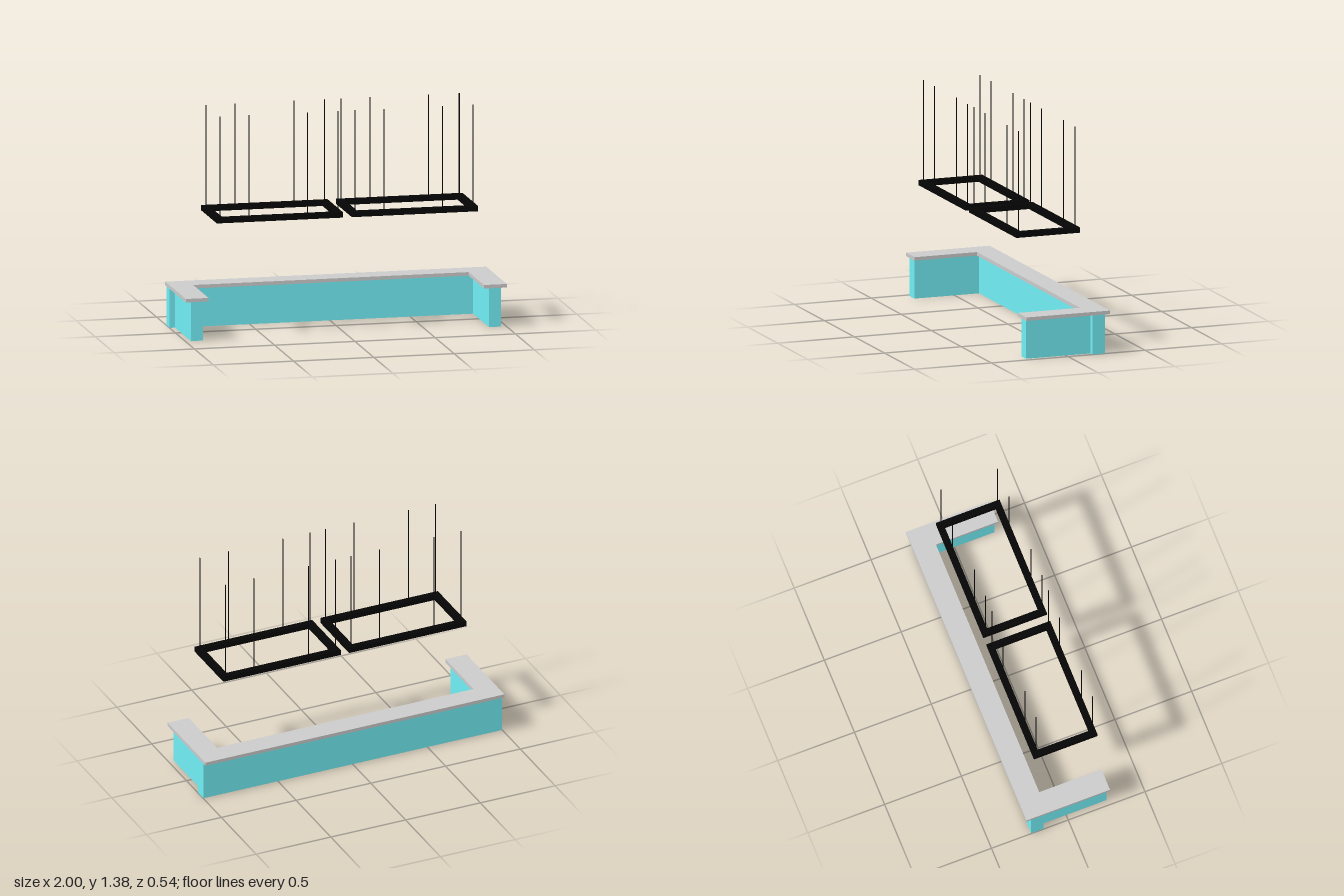
import * as THREE from 'three';

const grey = new THREE.MeshStandardMaterial({ color: 0xcccccc });
const teal = new THREE.MeshStandardMaterial({ color: 0x71eff5 });
const black = new THREE.MeshStandardMaterial({ color: 0x050505 });

// Box given by its minimum and maximum corners
function box(name, material, [x0, y0, z0], [x1, y1, z1]) {
  const mesh = new THREE.Mesh(new THREE.BoxGeometry(x1 - x0, y1 - y0, z1 - z0), material);
  mesh.name = name;
  mesh.position.set((x0 + x1) / 2, (y0 + y1) / 2, (z0 + z1) / 2);
  return mesh;
}

// Flat horizontal slab from an outline of [x, z] points; a hole runs the opposite way round
function slab(name, material, outline, y0, y1, hole) {
  const points = (list) => list.map(([x, z]) => new THREE.Vector2(x, -z));
  const shape = new THREE.Shape(points(outline));
  if (hole) shape.holes.push(new THREE.Path(points(hole).reverse()));
  const geometry = new THREE.ExtrudeGeometry(shape, { depth: y1 - y0, bevelEnabled: false });
  geometry.rotateX(-Math.PI / 2);
  const mesh = new THREE.Mesh(geometry, material);
  mesh.name = name;
  mesh.position.y = y0;
  return mesh;
}

const rectangle = (x0, x1, z0, z1) => [[x0, z0], [x1, z0], [x1, z1], [x0, z1]];

// U-shaped counter: long back wall, two side walls and a worktop
function createCounter() {
  const counter = new THREE.Group();
  counter.name = 'counter';
  counter.add(box('backWall', teal, [-0.998, 0, -0.24], [0.998, 0.242, -0.16]));
  counter.add(box('leftWall', teal, [0.892, 0, -0.16], [0.965, 0.242, 0.262]));
  counter.add(box('rightWall', teal, [-0.965, 0, -0.16], [-0.889, 0.242, 0.262]));
  const outline = [
    [-1, -0.272], [1, -0.272], [1, 0.272], [0.858, 0.272],
    [0.858, -0.133], [-0.858, -0.133], [-0.858, 0.272], [-1, 0.272],
  ];
  counter.add(slab('worktop', grey, outline, 0.242, 0.264));
  return counter;
}

// Hanging rectangular frame with two rows of thin suspension rods
function createHangingFrame(name, x0, x1, rodXs) {
  const group = new THREE.Group();
  group.name = name;
  const z0 = -0.147, z1 = 0.267, bar = 0.04, bottom = 0.721, top = 0.754;
  const hole = rectangle(x0 + bar, x1 - bar, z0 + bar, z1 - bar);
  group.add(slab('frame', black, rectangle(x0, x1, z0, z1), bottom, top, hole));

  const rodTop = 1.377;
  const rodGeometry = new THREE.CylinderGeometry(0.0033, 0.0033, rodTop - top, 8);
  for (const x of rodXs) {
    for (const z of [-0.123, 0.245]) {
      const rod = new THREE.Mesh(rodGeometry, black);
      rod.name = 'suspensionRod';
      rod.position.set(x, (top + rodTop) / 2, z);
      group.add(rod);
    }
  }
  return group;
}

export function createModel() {
  const model = new THREE.Group();
  model.name = 'counterWithHangingFrames';
  model.add(createCounter());
  model.add(createHangingFrame('rightHangingFrame', -0.805, -0.019, [-0.78, -0.599, -0.234, -0.044]));
  model.add(createHangingFrame('leftHangingFrame', 0.036, 0.822, [0.061, 0.242, 0.606, 0.797]));
  return model;
}
